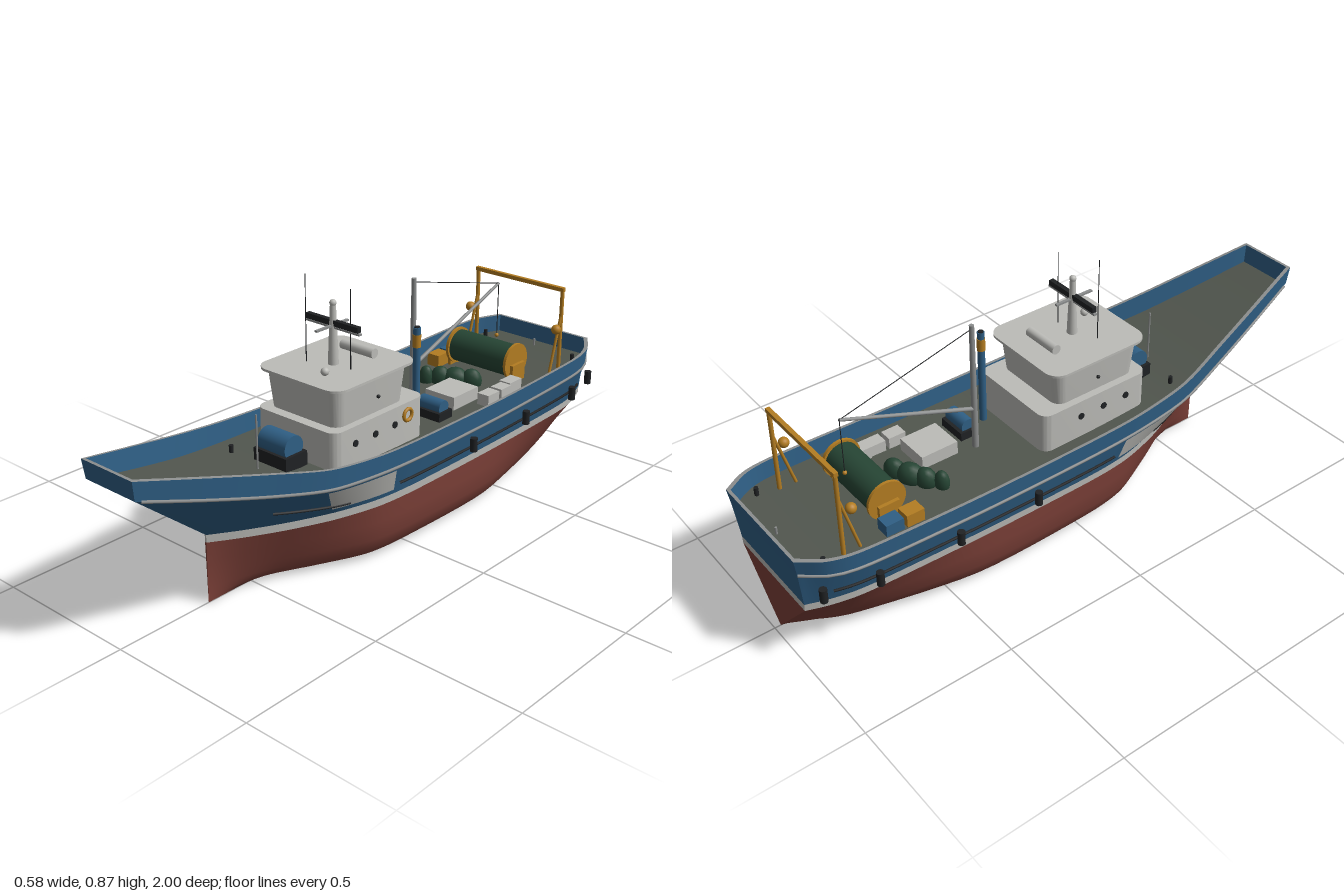
import * as THREE from 'three';
import { toCreasedNormals } from 'three/addons/utils/BufferGeometryUtils.js';

const V = (x, y, z) => new THREE.Vector3(x, y, z);
const mat = (name, color, side = THREE.FrontSide) =>
  Object.assign(new THREE.MeshStandardMaterial({ color, side }), { name });

export function createModel() {
  const M = {
    blue: mat('hull blue', 0x2f5f85), red: mat('antifouling red', 0x7c4038),
    white: mat('house white', 0xbcbcb8, THREE.DoubleSide), deck: mat('deck grey green', 0x51564e),
    grey: mat('rail grey', 0x8c8e8e), ochre: mat('gear ochre', 0xb47d22),
    green: mat('net green', 0x264534), black: mat('black', 0x202224),
  };
  const boat = new THREE.Group();
  boat.name = 'trawler';
  const add = (name, geo, m, x = 0, y = 0, z = 0) => {
    const mesh = new THREE.Mesh(geo, m);
    mesh.name = name;
    mesh.position.set(x, y, z);
    boat.add(mesh);
    return mesh;
  };
  const box = (name, m, w, h, d, x, y, z) => add(name, new THREE.BoxGeometry(w, h, d), m, x, y, z);
  const ball = (name, m, r, x, y, z) => add(name, new THREE.SphereGeometry(r, 16, 12), m, x, y, z);
  // Round bar between two points
  const rod = (name, m, a, b, r, r2 = r, seg = 16) => {
    const dir = b.clone().sub(a);
    const mesh = add(name, new THREE.CylinderGeometry(r2, r, dir.length(), seg), m);
    mesh.position.copy(a).lerp(b, 0.5);
    mesh.quaternion.setFromUnitVectors(V(0, 1, 0), dir.normalize());
    return mesh;
  };
  // Surface through rows of points; closed rows wrap around
  const loft = (name, m, rows, closed = true) => {
    const n = rows[0].length, idx = [];
    for (let r = 0; r < rows.length - 1; r++)
      for (let i = 0; i < (closed ? n : n - 1); i++) {
        const a = r * n + i, b = r * n + (i + 1) % n;
        idx.push(a, b, b + n, a, b + n, a + n);
      }
    const g = new THREE.BufferGeometry().setFromPoints(rows.flat());
    g.setIndex(idx);
    return add(name, toCreasedNormals(g, 0.6), m);
  };
  // Upright prism with rounded corners, optionally flared upwards
  const prism = (name, m, w, d, r, h, y, z, flare = 1) => {
    const a = w / 2, b = d / 2, s = new THREE.Shape();
    s.absarc(a - r, b - r, r, 0, Math.PI / 2);
    s.absarc(r - a, b - r, r, Math.PI / 2, Math.PI);
    s.absarc(r - a, r - b, r, Math.PI, Math.PI * 1.5);
    s.absarc(a - r, r - b, r, Math.PI * 1.5, Math.PI * 2);
    const g = new THREE.ExtrudeGeometry(s, { depth: h, bevelEnabled: false, curveSegments: 6 });
    g.rotateX(-Math.PI / 2);
    const p = g.attributes.position;
    for (let i = 0; i < p.count; i++) {
      const k = 1 + (flare - 1) * p.getY(i) / h;
      p.setXYZ(i, p.getX(i) * k, p.getY(i), p.getZ(i) * k);
    }
    return add(name, toCreasedNormals(g, 0.6), m, 0, y, z);
  };

  // Hull stations, bow to stern: z, half width, sheer height, deck height
  const sheer = [[1, .105, .552, .49], [.8, .153, .503, .435], [.6, .2, .455, .385], [.4, .247, .412, .347],
    [.2, .264, .392, .332], [0, .268, .386, .326], [-.4, .268, .385, .326], [-.8, .263, .394, .336],
    [-.92, .243, .4, .342], [-1, .193, .407, .35]];
  // Waterline stations: z, half width, fullness of the section below
  const water = [[.67, .003, 0], [.58, .06, .1], [.46, .125, .35], [.32, .185, .7], [.17, .225, .95],
    [0, .238, 1], [-.4, .238, 1], [-.78, .226, .55], [-.9, .207, .25], [-.98, .18, 0]];
  const curve = (pts) => new THREE.CatmullRomCurve3(pts, false, 'catmullrom', 0.4);
  const ring = (c) => {
    const p = c.getPoints(54);
    return [...p, ...p.map((q) => V(-q.x, q.y, q.z)).reverse()];
  };
  const topC = curve(sheer.map(([z, x, y]) => V(x, y, z)));
  const topIn = curve(sheer.map(([z, x, y]) => V(x - .01, y, z * .99)));
  const deckC = curve(sheer.map(([z, x, , y]) => V(x - .004, y, z * .992)));
  const deckIn = curve(sheer.map(([z, x, , y]) => V(x - .014, y, z * .982)));
  const waterAt = (y, k) => curve(water.map(([z, x, f]) => V(x * k(f), y, z)));
  const lerp = THREE.MathUtils.lerp;
  const below = [[0, 0, 0], [.008, .4, .04], [.02, .83, .1], [.045, .91, .23], [.08, .965, .4], [.14, .99, .7], [.2, 1, 1]]
    .map(([y, full, vee]) => ring(waterAt(y, (f) => lerp(vee, full, f))));
  const wl = waterAt(.2, () => 1), stripe = waterAt(.225, () => 1.008);
  loft('lowerHull', M.red, below);
  loft('bootStripe', M.white, [ring(wl), ring(stripe)]);
  loft('upperHull', M.blue, [ring(stripe), ring(deckC)]);
  loft('bulwarkOutside', M.blue, [ring(deckC), ring(topC)]);
  loft('bulwarkCap', M.grey, [ring(topC), ring(topIn)]);
  loft('bulwarkInside', M.blue, [ring(topIn), ring(deckIn)]);
  const dp = deckC.getPoints(54);
  loft('deck', M.deck, [dp, dp.map((q) => V(-q.x, q.y, q.z))], false);

  // Point on the topsides: t runs bow to stern, v from stripe to deck
  const side = (s, t, v, out) => {
    const p = stripe.getPoint(t).lerp(deckC.getPoint(t), v);
    return V(s * (p.x + out), p.y, p.z);
  };
  const strip = (name, m, s, t0, t1, v0, v1, r, out) => {
    const pts = Array.from({ length: 25 }, (_, i) => side(s, lerp(t0, t1, i / 24), lerp(v0, v1, i / 24), out));
    add(name, new THREE.TubeGeometry(new THREE.CatmullRomCurve3(pts), 48, r, 6), m);
  };
  for (const s of [1, -1]) {
    strip('rubRail', M.grey, s, .01, 1, 1, 1, .005, .002);
    strip('bowRubStrip', M.black, s, .2, .37, .4, .26, .005, .002);
    strip('sideRubStrip', M.black, s, .5, .89, .34, .34, .005, .002);
    loft('sidePanel', M.white, [.18, .5, .9].map((v) =>
      Array.from({ length: 13 }, (_, i) => side(s, lerp(.322, .485, i / 12), v, .004))), false);
    // Hanging fenders
    for (const [x, z] of [[.28, -.225], [.28, -.51], [.278, -.785], [.238, -.945]])
      rod('fender', M.black, V(s * x, .262, z), V(s * x, .308, z), .012);
    // Mooring posts and house side lights
    for (const [x, y, z] of [[.15, .345, .42], [.19, .34, -.91]])
      rod('bollard', M.black, V(s * x, y, z), V(s * x, y + .03, z), .007);
    ball('sideLight', M.black, .006, s * .16, .52, .1);
    for (const z of [.21, .12, .03]) {
      const port = add('porthole', new THREE.CylinderGeometry(.011, .011, .006, 16), M.black, s * .166, .405, z);
      port.rotation.z = Math.PI / 2;
    }
  }

  // Deckhouse
  prism('lowerHouse', M.white, .33, .415, .035, .14, .32, .092);
  prism('wheelhouse', M.white, .28, .31, .035, .125, .46, .11, 1.08);
  prism('wheelhouseRoof', M.white, .34, .375, .05, .008, .583, .108);
  add('lifebuoy', new THREE.TorusGeometry(.019, .006, 8, 24), M.ochre, .168, .42, -.03).rotation.y = Math.PI / 2;

  // Roof gear
  rod('signalMast', M.white, V(0, .588, .125), V(0, .785, .125), .017, .009);
  ball('mastLight', M.white, .011, 0, .786, .125);
  box('radarPlatform', M.grey, .22, .006, .012, 0, .71, .125);
  box('radarCrossArm', M.grey, .01, .006, .14, 0, .715, .13);
  box('radarScanner', M.black, .21, .018, .016, 0, .724, .125);
  rod('whipAerial', M.black, V(-.075, .588, .165), V(-.075, .87, .165), .0017, .0012, 6);
  rod('whipAerial', M.black, V(.071, .588, .125), V(.071, .845, .125), .0017, .0012, 6);
  rod('lifeRaft', M.white, V(-.066, .607, .01), V(.066, .607, .01), .016);
  ball('satelliteDome', M.white, .013, .049, .605, .215);

  // Winches: black cradle with blue drum
  const winch = (w, d, r, x, y, z) => {
    box('winchBase', M.black, w, r * 1.2, d, x, y + r * .6, z);
    rod('winchDrum', M.blue, V(x - w * .42, y + r * 1.7, z), V(x + w * .42, y + r * 1.7, z), r, r, 24);
  };
  winch(.135, .09, .039, 0, .342, .36);
  winch(.105, .066, .024, .096, .325, -.245);
  rod('jackStaff', M.grey, V(0, .35, .455), V(0, .53, .455), .003, .003, 8);
  rod('sternStaff', M.grey, V(0, .34, -.95), V(0, .37, -.95), .004, .004, 8);

  // Exhaust funnel
  rod('funnel', M.blue, V(.097, .325, -.155), V(.097, .655, -.155), .012);
  rod('funnelBand', M.ochre, V(.097, .59, -.155), V(.097, .632, -.155), .0135);
  rod('funnelMouth', M.black, V(.097, .655, -.155), V(.097, .658, -.155), .009);

  // Derrick
  rod('derrickMast', M.grey, V(0, .325, -.255), V(0, .77, -.255), .011, .008);
  rod('derrickBoom', M.grey, V(0, .47, -.262), V(0, .64, -.715), .007, .005);
  rod('toppingLift', M.black, V(0, .757, -.255), V(0, .64, -.715), .0015, .0015, 6);
  rod('hoistWire', M.black, V(0, .64, -.715), V(0, .455, -.715), .0015, .0015, 6);
  ball('hook', M.ochre, .007, 0, .45, -.715);

  // Hatch and fish boxes
  box('hatch', M.white, .12, .045, .13, .063, .348, -.385);
  box('fishBox', M.white, .045, .045, .065, .165, .348, -.575);
  box('fishBox', M.white, .045, .04, .055, .17, .346, -.515);
  box('fishBox', M.white, .045, .04, .06, .17, .346, -.445);
  box('ochreCrate', M.ochre, .048, .045, .06, -.17, .35, -.605);
  box('blueCrate', M.blue, .048, .045, .06, -.17, .35, -.675);

  // Net drum and heaped net
  rod('netDrum', M.green, V(-.12, .4, -.657), V(.12, .4, -.657), .056, .056, 28);
  for (const s of [1, -1]) {
    rod('drumFlange', M.ochre, V(s * .118, .4, -.657), V(s * .128, .4, -.657), .064, .064, 28);
    box('drumStand', M.ochre, .012, .07, .07, s * .134, .36, -.657);
  }
  for (const [x, z, r, w] of [[.035, -.53, .026, .036], [-.015, -.505, .034, .045], [-.06, -.48, .028, .035], [-.1, -.45, .02, .025]]) {
    const heap = add('net', new THREE.IcosahedronGeometry(1, 2), M.green, x, .345, z);
    heap.scale.set(w, .042, r);
    heap.rotation.y = .5;
  }

  // Stern gantry with hanging trawl blocks
  for (const s of [1, -1]) {
    rod('gantryLeg', M.ochre, V(s * .18, .335, -.84), V(s * .18, .625, -.84), .007);
    rod('gantryBrace', M.ochre, V(s * .18, .335, -.785), V(s * .18, .53, -.838), .005);
    ball('trawlBlock', M.ochre, .017, s * .185, .49, -.805);
  }
  box('gantryBeam', M.ochre, .374, .014, .014, 0, .625, -.84);
  return boat;
}
